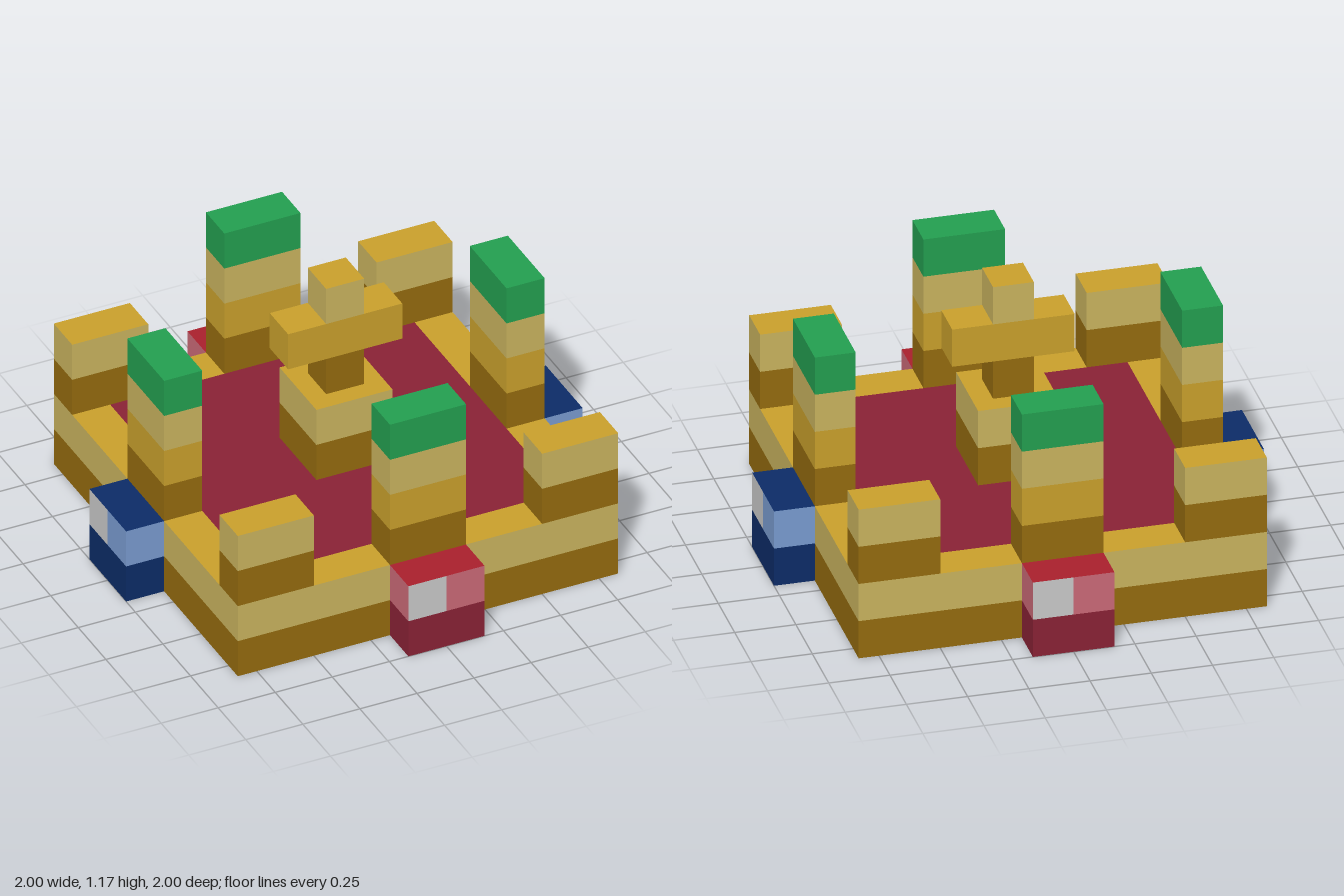
import * as THREE from 'three';

const U = 1 / 6; // one building cube

function mat(name, color) {
  const m = new THREE.MeshStandardMaterial({ color });
  m.name = name;
  return m;
}

export function createModel() {
  const gold = mat('gold', 0xc9a02c);
  const sand = mat('sand', 0xc9b35e);
  const brown = mat('brown', 0x946b0e);
  const green = mat('green', 0x239f50);
  const maroon = mat('maroon', 0x892235);
  const red = mat('red', 0xa9202d);
  const pink = mat('pink', 0xca6977);
  const navy = mat('navy', 0x0c2c67);
  const skyBlue = mat('skyBlue', 0x799bd0);
  const silver = mat('silver', 0xc9c9c9);

  const model = new THREE.Group();
  model.name = 'fort';

  // Box measured in cubes, standing on height y; sides and caps may differ in colour
  function block(parent, name, [w, h, d], [x, y, z], side, cap = side, front = side) {
    const geo = new THREE.BoxGeometry(w * U, h * U, d * U);
    const mesh = new THREE.Mesh(geo, [side, side, cap, cap, front, side]);
    mesh.name = name;
    mesh.position.set(x * U, (y + h / 2) * U, z * U);
    parent.add(mesh);
  }

  // Column of one-cube layers, coloured from the bottom up
  function stack(parent, name, w, d, [x, y, z], colours, cap) {
    const group = new THREE.Group();
    group.name = name;
    colours.forEach((c, i) => block(group, name + 'Layer', [w, 1, d], [x, y + i, z], c, cap));
    parent.add(group);
  }

  // Raised floor inside the wall
  block(model, 'floor', [8, 2, 8], [0, 0, 0], maroon);

  // Outer wall: two square rings
  const square = (Type, r) => new Type(
    [[-r, -r], [r, -r], [r, r], [-r, r]].map(([x, y]) => new THREE.Vector2(x * U, y * U)));
  const ring = square(THREE.Shape, 5);
  ring.holes.push(square(THREE.Path, 4));
  [brown, sand].forEach((side, i) => {
    const geo = new THREE.ExtrudeGeometry(ring, { depth: U, bevelEnabled: false });
    geo.rotateX(-Math.PI / 2);
    geo.translate(0, i * U, 0);
    const wall = new THREE.Mesh(geo, [gold, side]);
    wall.name = i ? 'upperWall' : 'lowerWall';
    model.add(wall);
  });

  // Corner battlements
  for (const x of [-4, 4])
    for (const z of [-4.5, 4.5])
      stack(model, 'cornerBattlement', 2, 1, [x, 2, z], [brown, sand], gold);

  // A tower and a coloured gate block in the middle of each side
  for (let i = 0; i < 4; i++) {
    const side = new THREE.Group();
    side.name = ['frontSide', 'leftSide', 'backSide', 'rightSide'][i];
    side.rotation.y = i * Math.PI / 2;
    model.add(side);

    stack(side, 'tower', 2, 1, [0, 2, 4.5], [brown, gold, sand], gold);
    block(side, 'towerRoof', [2, 1, 1], [0, 5, 4.5], green);

    const [base, pale, cap] = i % 2 ? [navy, skyBlue, navy] : [maroon, pink, red];
    block(side, 'gateBase', [2, 1, 1], [0, 0, 5.5], base, cap);
    block(side, 'gateSilverHalf', [1, 1, 1], [-0.5, 1, 5.5], pale, cap, silver);
    block(side, 'gatePaleHalf', [1, 1, 1], [0.5, 1, 5.5], pale, cap);
  }

  // Central monument: pedestal, stem, crossbar and top
  const monument = new THREE.Group();
  monument.name = 'monument';
  model.add(monument);
  stack(monument, 'pedestal', 2, 2, [0, 2, 0], [brown, sand], gold);
  block(monument, 'stem', [1, 1, 1], [0, 4, 0], brown, gold);
  block(monument, 'crossbar', [3, 1, 1], [0, 5, 0], gold);
  block(monument, 'monumentTop', [1, 1, 1], [0, 6, 0], sand, gold);

  return model;
}
